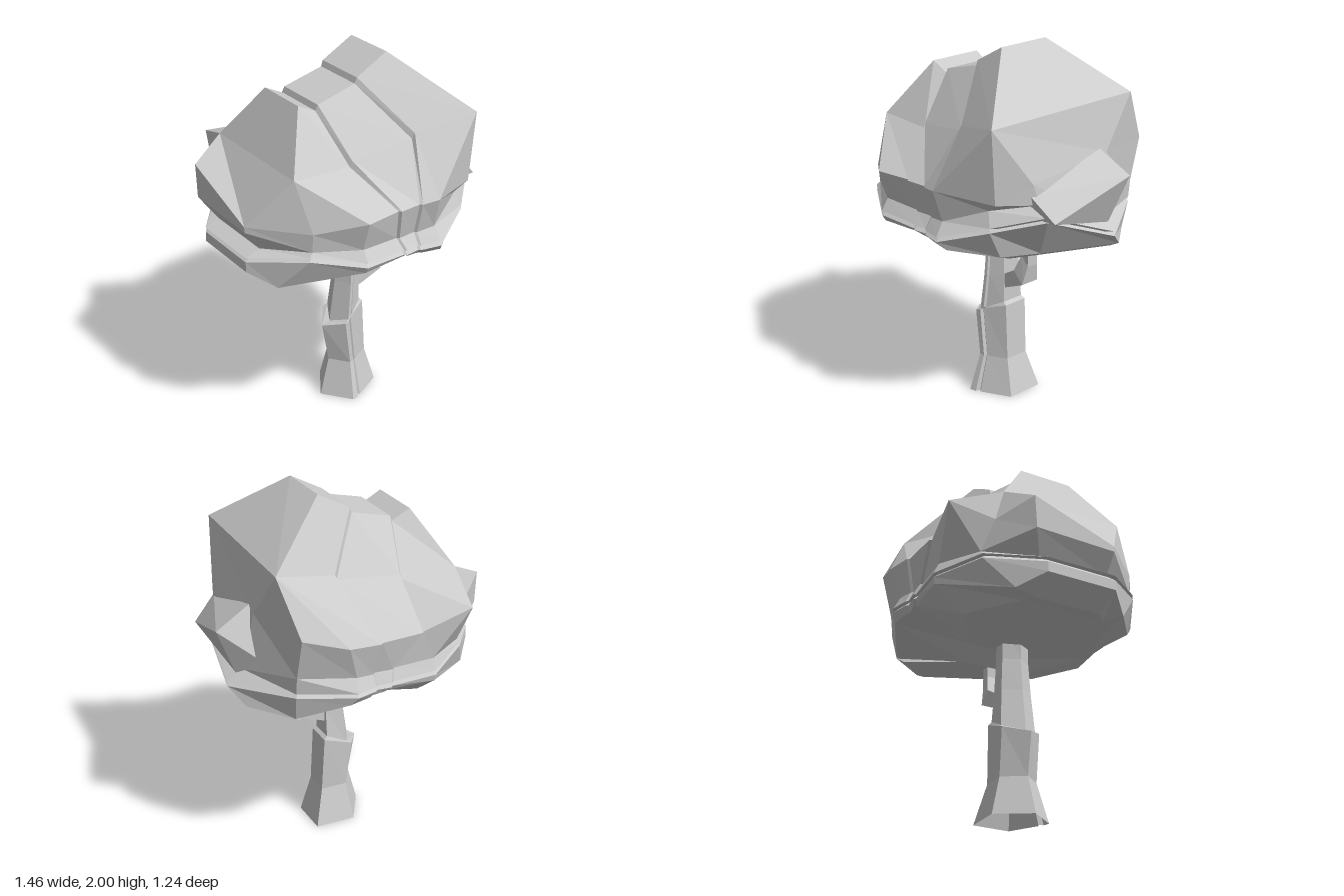
import * as THREE from 'three';
import { ConvexGeometry } from 'three/addons/geometries/ConvexGeometry.js';

const material = new THREE.MeshStandardMaterial({
  color: 0xcccccc, flatShading: true, side: THREE.DoubleSide,
});

function addMesh(group, name, geometry) {
  const mesh = new THREE.Mesh(geometry, material);
  mesh.name = name;
  group.add(mesh);
}

// Faceted skin over rings listed from top to bottom; each ring runs
// left to right along the front, then right to left along the back.
function loft(rings, capped = true) {
  const pos = [];
  const tri = (a, b, c) => {
    const ab = new THREE.Vector3(...b).sub(new THREE.Vector3(...a));
    const ac = new THREE.Vector3(...c).sub(new THREE.Vector3(...a));
    if (ab.cross(ac).length() > 1e-7) pos.push(...a, ...b, ...c);
  };
  const quad = (a, b, c, d) => { tri(a, b, c); tri(a, c, d); };
  const n = rings[0].length;
  for (let i = 0; i < rings.length - 1; i++) {
    for (let j = 0; j < n; j++) {
      const k = (j + 1) % n;
      quad(rings[i][j], rings[i + 1][j], rings[i + 1][k], rings[i][k]);
    }
  }
  // Caps bridge the front half of a ring to its back half
  const top = rings[0], bottom = rings[rings.length - 1];
  for (let j = 0; capped && j < n / 2 - 1; j++) {
    const b = n - 1 - j;
    quad(top[j], top[j + 1], top[b - 1], top[b]);
    quad(bottom[j], bottom[b], bottom[b - 1], bottom[j + 1]);
  }
  const g = new THREE.BufferGeometry();
  g.setAttribute('position', new THREE.Float32BufferAttribute(pos, 3));
  g.computeVertexNormals();
  return g;
}

// Eight canopy points become ten: points 3 and 4 get a small step,
// so that each lobe rises above the one on its left.
function withSteps(row) {
  const sink = ([x, y, z]) => [x - 0.012, y + (y > 1.4 ? -0.03 : 0), z * 0.98];
  const [a, b, c, g1, g2, d, e, f] = row;
  return [a, b, c, sink(g1), g1, sink(g2), g2, d, e, f];
}
const mirrorZ = (row, s = 1) => row.map(([x, y, z]) => [x, y, -z * s]);
const ring = (front, back = mirrorZ(front)) => [...withSteps(front), ...withSteps(back).reverse()];
const moved = (r, s, dy) => r.map(([x, y, z]) => [x * s, y + dy, z * s]);

function upperCanopy() {
  const tl = [-0.38, 1.83, 0.16], tr = [0.15, 2, 0.16];
  const crown = [tl, tl, tl, [-0.265, 1.81, 0.16], [-0.03, 1.9, 0.16], tr, tr, tr];
  const sl = [-0.54, 1.55, 0.36], sr = [0.46, 1.72, 0.51];
  const shoulder = [sl, sl, sl, [-0.205, 1.57, 0.37], [0.14, 1.65, 0.42], sr, sr, sr];
  const bl = [-0.54, 1.55, -0.34], br = [0.51, 1.74, -0.4];
  const shoulderBack = [bl, bl, bl, [-0.205, 1.58, -0.35], [0.16, 1.65, -0.34], br, br, br];
  const belly = [[-0.73, 1.29, 0.2], [-0.5, 1.29, 0.46], [-0.28, 1.35, 0.62], [-0.07, 1.35, 0.6],
    [0.06, 1.35, 0.6], [0.15, 1.36, 0.62], [0.45, 1.33, 0.48], [0.54, 1.42, 0.31]];
  const bellyBack = [[-0.73, 1.45, -0.27], [-0.56, 1.36, -0.4], [-0.47, 1.45, -0.62], [-0.2, 1.36, -0.59],
    [0.04, 1.36, -0.6], [0.22, 1.38, -0.61], [0.45, 1.45, -0.55], [0.54, 1.47, -0.2]];
  const waist = [[-0.65, 1.15, 0.2], [-0.5, 1.19, 0.45], [-0.28, 1.19, 0.57], [-0.05, 1.18, 0.56],
    [0.06, 1.18, 0.56], [0.16, 1.19, 0.57], [0.38, 1.28, 0.46], [0.55, 1.31, 0.28]];
  const waistBack = mirrorZ(waist);
  waistBack[6] = [0.45, 1.22, -0.49];
  waistBack[7] = [0.59, 1.15, -0.15];
  // The left end drops straight before it turns in to the waist
  const hip = [[-0.73, 1.26, 0.2], ...waist.slice(1)];
  const hipBack = [[-0.73, 1.27, -0.26], ...waistBack.slice(1)];
  return [ring(crown, mirrorZ(crown, 0.88)), ring(shoulder, shoulderBack),
    ring(belly, bellyBack), ring(hip, hipBack), ring(waist, waistBack), rim()];
}

function rim() {
  const front = [[-0.73, 1.12, 0.2], [-0.52, 1.17, 0.46], [-0.28, 1.13, 0.61], [-0.03, 1.12, 0.6],
    [0.06, 1.12, 0.6], [0.17, 1.12, 0.62], [0.41, 1.2, 0.48], [0.61, 1.26, 0.28]];
  const back = mirrorZ(front, 0.98);
  back[6] = [0.45, 1.13, -0.48];
  back[7] = [0.67, 1.09, -0.14];
  return ring(front, back);
}

function lowerCanopy() {
  const skirt = [[-0.73, 1.04, 0.2], [-0.62, 0.97, 0.32], [-0.28, 1.07, 0.59], [0, 1.07, 0.57],
    [0.08, 1.06, 0.57], [0.2, 1.05, 0.58], [0.4, 1.02, 0.4], [0.48, 1.01, 0.2]];
  const skirtBack = mirrorZ(skirt);
  skirtBack[6] = [0.44, 0.97, -0.45];
  skirtBack[7] = [0.61, 0.98, -0.24];
  const under = [[-0.61, 0.95, 0.18], [-0.55, 0.95, 0.24], [-0.28, 0.935, 0.35], [0, 0.97, 0.24],
    [0.08, 0.98, 0.2], [0.18, 0.915, 0.17], [0.34, 0.96, 0.28], [0.42, 0.97, 0.16]];
  const underBack = mirrorZ(under);
  underBack[2] = [-0.28, 0.94, -0.43];
  underBack[6] = [0.4, 0.94, -0.42];
  underBack[7] = [0.57, 0.96, -0.22];
  return [moved(rim(), 0.93, 0.015), moved(rim(), 1, -0.025),
    ring(skirt, skirtBack), ring(under, underBack)];
}

// Notched front, a flat right side, and a broad back.
// Rows: y, left x, right x, back z, front z, from top to bottom
function trunkRings() {
  const backRight = [1, -0.9], backLeft = [0.35, -1], left = [0, 0.1];
  const outline = [left, [0.35, 1], [0.46, 0.95], [0.48, 0.78], [0.53, 0.86], [1, 0.35],
    backRight, backRight, backLeft, backLeft, backLeft, left];
  const rows = [
    [1.1, -0.08, 0.05, -0.05, 0.1], [0.88, -0.07, 0.055, -0.05, 0.11],
    [0.7, -0.085, 0.06, -0.06, 0.12], [0.5, -0.12, 0.06, -0.075, 0.13],
    [0.485, -0.17, 0.08, -0.085, 0.14], [0.21, -0.13, 0.095, -0.08, 0.14],
    [0, -0.19, 0.15, -0.135, 0.2]];
  return rows.map(([y, x0, x1, z0, z1], i) => outline.map(([u, v]) => [
    x0 + (x1 - x0) * u,
    // the step in the bark rises toward the right
    y + (i === 3 || i === 4 ? (u - 0.5) * 0.09 : 0),
    (z0 + z1) / 2 + v * (z1 - z0) / 2]));
}

// Rows: left x and y, right x and y, half depth, from the tip to the trunk
function branchRings() {
  return [
    [0.18, 1.0, 0.235, 1.0, 0.03], [0.18, 0.86, 0.225, 0.8, 0.035],
    [0.14, 0.76, 0.205, 0.695, 0.055], [0.02, 0.69, 0.04, 0.62, 0.045],
  ].map(([xl, yl, xr, yr, d]) => [
    [xl, yl, d + 0.01], [xr, yr, d + 0.01], [xr, yr, 0.01 - d], [xl, yl, 0.01 - d]]);
}

export function createModel() {
  const tree = new THREE.Group();
  tree.name = 'tree';
  addMesh(tree, 'trunk', loft(trunkRings(), false));
  addMesh(tree, 'branch', loft(branchRings()));
  addMesh(tree, 'upperCanopy', loft(upperCanopy()));
  addMesh(tree, 'lowerCanopy', loft(lowerCanopy()));
  // Leaf clump jutting out of the canopy's right-hand side
  const clump = [[0.73, 1.4, -0.17], [0.66, 1.24, 0.28], [0.53, 1.36, 0.32], [0.54, 1.5, -0.15],
    [0.5, 1.24, 0.3], [0.62, 1.13, -0.14], [0.5, 1.2, -0.25]];
  addMesh(tree, 'sideClump', new ConvexGeometry(clump.map((p) => new THREE.Vector3(...p))));
  return tree;
}
